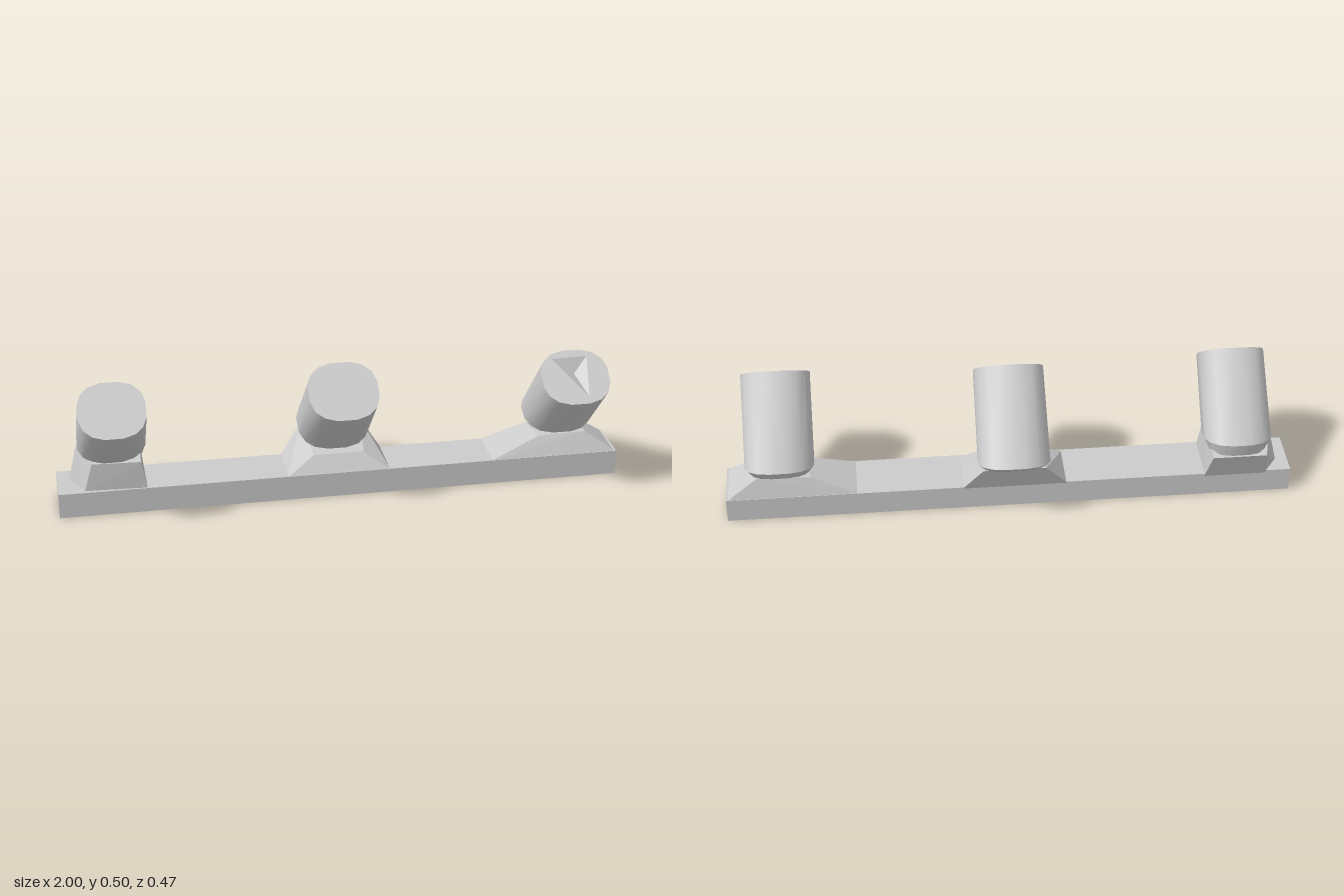
import * as THREE from 'three';
import { ConvexGeometry } from 'three/addons/geometries/ConvexGeometry.js';
import { mergeVertices, mergeGeometries, toCreasedNormals } from 'three/addons/utils/BufferGeometryUtils.js';

const material = new THREE.MeshStandardMaterial({ color: 0xcccccc });
const SIDES = 16;

// Unit outline of a barrel: a slightly squared circle, counter-clockwise from the front
const outline = Array.from({ length: SIDES }, (_, i) => {
  const a = (i + 0.5) / SIDES * Math.PI * 2;
  const bulge = v => Math.sign(v) * Math.abs(v) ** 0.8;
  return new THREE.Vector2(bulge(Math.cos(a)) / 0.985, bulge(Math.sin(a)) / 0.985);
});

// Maps (u, v) on a tilted section plane to space; top and bottom are [z, y]
function place({ top, bottom, half }, cx, u, v) {
  const t = (v + 1) / 2;
  return [cx + u * half, bottom[1] + (top[1] - bottom[1]) * t, bottom[0] + (top[0] - bottom[0]) * t];
}

function geometryFrom(points, index) {
  const g = new THREE.BufferGeometry();
  g.setAttribute('position', new THREE.Float32BufferAttribute(points.flat(), 3));
  g.setIndex(index);
  return g;
}

// Tilted barrel: lofted sections, closed back and flat front, optionally with a triangular dent
function barrel(name, cx, sections, dent) {
  const points = sections.flatMap(s => outline.map(p => place(s, cx, p.x, p.y)));
  const last = sections[sections.length - 1];
  points.push(place(last, cx, 0, 0));
  const index = [];
  for (let i = 0; i < SIDES; i++) {
    const j = (i + 1) % SIDES;
    for (let k = 0; k < sections.length - 1; k++) {
      const a = k * SIDES + i, b = k * SIDES + j;
      index.push(a, a + SIDES, b, b, a + SIDES, b + SIDES);
    }
    const base = (sections.length - 1) * SIDES;
    index.push(points.length - 1, base + j, base + i);
  }
  const parts = [geometryFrom(points, index)];

  // Front face
  const shape = new THREE.Shape(outline);
  if (dent) shape.holes.push(new THREE.Path(dent));
  const cap = new THREE.ShapeGeometry(shape);
  const flat = cap.attributes.position;
  const capPoints = [];
  for (let i = 0; i < flat.count; i++) capPoints.push(place(sections[0], cx, flat.getX(i), flat.getY(i)));
  parts.push(geometryFrom(capPoints, [...cap.index.array]));

  // Sunken facets inside the dent
  if (dent) {
    const corners = dent.map(p => place(sections[0], cx, p.x, p.y));
    const deep = [0, 1, 2].map(n => (corners[0][n] + corners[1][n] + corners[2][n]) / 3);
    deep[1] -= 0.02;
    deep[2] -= 0.02;
    parts.push(geometryFrom([...corners, deep], [0, 1, 3, 1, 2, 3, 2, 0, 3]));
  }
  const merged = mergeVertices(mergeGeometries(parts));
  const mesh = new THREE.Mesh(toCreasedNormals(merged, 0.5), material);
  mesh.name = name;
  return mesh;
}

// Faceted foot blending a barrel into the rail
function foot(name, corners) {
  const mesh = new THREE.Mesh(new ConvexGeometry(corners.map(c => new THREE.Vector3(...c))), material);
  mesh.name = name;
  return mesh;
}

export function createModel() {
  const group = new THREE.Group();
  group.name = 'railWithBarrels';

  // Base rail
  const rail = new THREE.Mesh(new THREE.BoxGeometry(2, 0.09, 0.185), material);
  rail.position.set(0, 0.045, -0.0275);
  rail.name = 'rail';
  group.add(rail);

  // Barrels leaning back from the front: front, rear rim and rounded rear end
  group.add(
    barrel('leftBarrel', -0.805, [
      { top: [0.065, 0.5], bottom: [0.22, 0.36], half: 0.115 },
      { top: [-0.175, 0.25], bottom: [0.05, 0.19], half: 0.118 },
      { top: [-0.165, 0.2], bottom: [0, 0.17], half: 0.1 }
    ]),
    barrel('middleBarrel', -0.01, [
      { top: [0.035, 0.5], bottom: [0.2, 0.355], half: 0.122 },
      { top: [-0.235, 0.25], bottom: [-0.01, 0.15], half: 0.125 },
      { top: [-0.17, 0.19], bottom: [-0.05, 0.13], half: 0.1 }
    ]),
    barrel('rightBarrel', 0.805, [
      { top: [0.07, 0.5], bottom: [0.232, 0.365], half: 0.12 },
      { top: [-0.175, 0.24], bottom: [0.03, 0.165], half: 0.12 },
      { top: [-0.15, 0.2], bottom: [-0.01, 0.155], half: 0.1 }
    ], [new THREE.Vector2(-0.6, 0.72), new THREE.Vector2(0.29, -0.75), new THREE.Vector2(0.45, 0.75)])
  );

  // Feet
  group.add(
    foot('leftFoot', [
      [-0.96, 0.08, -0.05], [-0.91, 0.08, 0.05], [-0.69, 0.08, 0.06], [-0.69, 0.08, -0.12], [-0.91, 0.08, -0.12],
      [-0.92, 0.25, -0.05], [-0.9, 0.19, -0.16], [-0.71, 0.19, -0.16], [-0.71, 0.25, -0.04],
      [-0.88, 0.19, 0.05], [-0.71, 0.19, 0.06]
    ]),
    foot('middleFoot', [
      [-0.2, 0.085, 0.065], [0.17, 0.085, 0.065], [0.17, 0.085, -0.12], [-0.2, 0.085, -0.12],
      [-0.1, 0.145, 0.02], [0.08, 0.145, 0.02], [0.1, 0.19, -0.16], [-0.12, 0.19, -0.16]
    ]),
    foot('rightFoot', [
      [0.53, 0.085, 0.065], [1, 0.085, 0.065], [1, 0.085, -0.12], [0.53, 0.085, -0.12],
      [0.72, 0.155, 0.025], [0.89, 0.16, 0.025], [0.89, 0.16, -0.095], [0.7, 0.155, -0.095]
    ])
  );
  return group;
}
